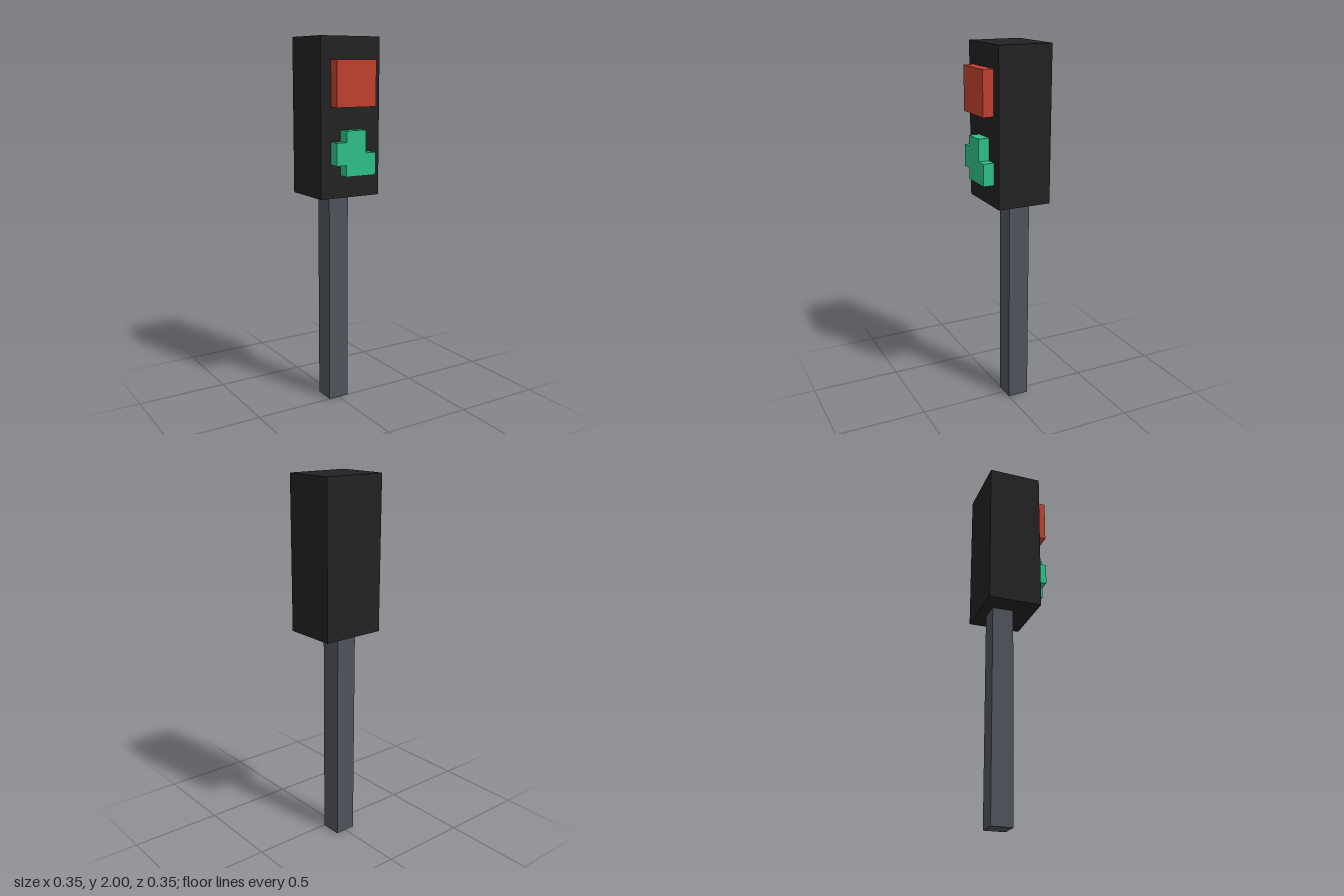
import * as THREE from 'three';

const U = 2 / 34; // one block unit; the model is 34 blocks tall

function material(name, color) {
  const m = new THREE.MeshStandardMaterial({ color });
  m.name = name;
  return m;
}

// Box given by its minimum and maximum corners, in block units
function block(name, mat, [x0, y0, z0], [x1, y1, z1]) {
  const geo = new THREE.BoxGeometry((x1 - x0) * U, (y1 - y0) * U, (z1 - z0) * U);
  const mesh = new THREE.Mesh(geo, mat);
  mesh.position.set((x0 + x1) / 2, (y0 + y1) / 2, (z0 + z1) / 2).multiplyScalar(U);
  mesh.name = name;
  return mesh;
}

export function createModel() {
  const black = material('housing black', 0x222222);
  const grey = material('pole grey', 0x4e535b);
  const red = material('signal red', 0xc0402d);
  const green = material('signal green', 0x2ec088);

  const model = new THREE.Group();
  model.name = 'pedestrianSignal';

  // Pole, housing and the square stop lamp
  model.add(
    block('pole', grey, [-1, 0, -2], [1, 20, 0]),
    block('housing', black, [-3, 20, -3], [3, 34, 2]),
    block('stopLamp', red, [-2, 28, 2], [2, 32, 3])
  );

  // Walk lamp: stepped figure, one solid outline
  const outline = [[-1, 22], [2, 22], [2, 24], [1, 24], [1, 26],
    [-1, 26], [-1, 25], [-2, 25], [-2, 23], [-1, 23]];
  const shape = new THREE.Shape(outline.map(([x, y]) => new THREE.Vector2(x * U, y * U)));
  const walkLamp = new THREE.Mesh(
    new THREE.ExtrudeGeometry(shape, { depth: U, bevelEnabled: false }), green);
  walkLamp.position.z = 2 * U;
  walkLamp.name = 'walkLamp';
  model.add(walkLamp);

  return model;
}
